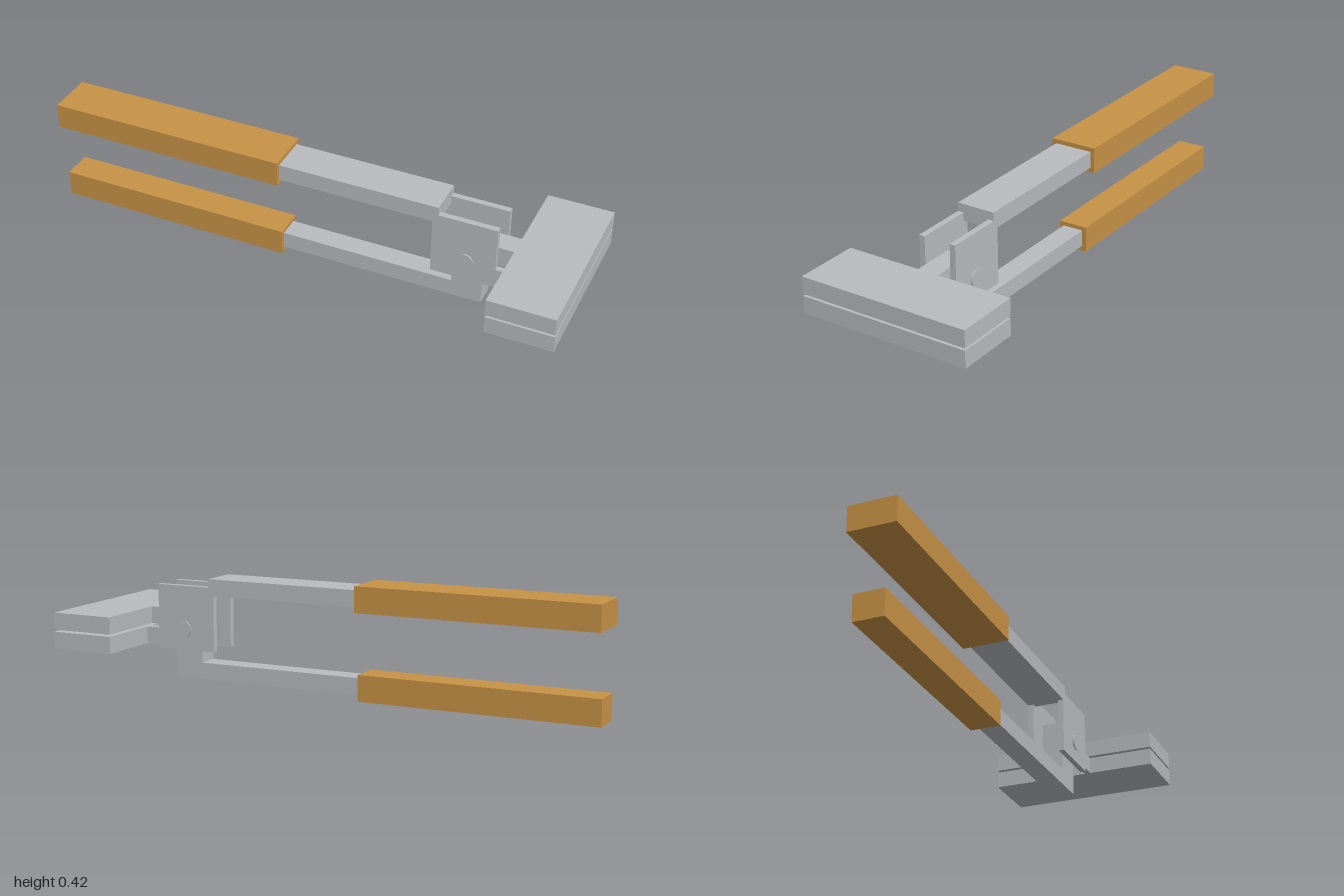
import * as THREE from 'three';

export function createModel() {
  const group = new THREE.Group();
  const metal = new THREE.MeshStandardMaterial({ color: 0xb9bbbf });
  metal.name = 'greyMetal';
  const wood = new THREE.MeshStandardMaterial({ color: 0xc89346 });
  wood.name = 'warmWood';

  const add = (name, geometry, material) => {
    const mesh = new THREE.Mesh(geometry, material);
    mesh.name = name;
    group.add(mesh);
    return mesh;
  };

  // Box given by its minimum and maximum on each axis
  const box = (name, [x0, x1], [y0, y1], [z0, z1], material) =>
    add(name, new THREE.BoxGeometry(x1 - x0, y1 - y0, z1 - z0), material)
      .position.set((x0 + x1) / 2, (y0 + y1) / 2, (z0 + z1) / 2);

  // Side outline extruded from z0 to z1
  const plate = (name, points, z0, z1) => {
    const shape = new THREE.Shape(points.map(([x, y]) => new THREE.Vector2(x, y)));
    const geometry = new THREE.ExtrudeGeometry(shape, { depth: z1 - z0, bevelEnabled: false });
    geometry.translate(0, 0, z0);
    add(name, geometry, metal);
  };

  // Wooden grips
  box('upperGrip', [-1, -0.107], [0.322, 0.416], [-0.088, 0.088], wood);
  box('lowerGrip', [-1, -0.107], [0, 0.096], [-0.056, 0.056], wood);

  // Upper handle bar, forked into two cheeks that carry the lower jaw
  box('upperBar', [-0.2, 0.491], [0.338, 0.4], [-0.072, 0.072], metal);
  const cheek = [
    [0.47, 0.13], [0.705, 0.13], [0.705, 0.142], [0.78, 0.142],
    [0.78, 0.205], [0.705, 0.205], [0.705, 0.369], [0.47, 0.369],
  ];
  plate('leftCheek', cheek, 0.05, 0.072);
  plate('rightCheek', cheek, -0.072, -0.05);

  // Lower lever: bar, upright post and arm to the upper jaw
  plate('lowerLever', [
    [-0.2, 0.019], [0.651, 0.019], [0.651, 0.213], [0.78, 0.213],
    [0.78, 0.276], [0.539, 0.276], [0.539, 0.081], [-0.2, 0.081],
  ], -0.04, 0.04);

  // Flat jaws
  box('lowerJaw', [0.757, 1], [0.142, 0.205], [-0.32, 0.32], metal);
  box('upperJaw', [0.757, 1], [0.213, 0.276], [-0.32, 0.32], metal);

  // Pivot pin through the cheeks and post
  const pin = new THREE.CylinderGeometry(0.03, 0.03, 0.154, 32);
  pin.rotateX(Math.PI / 2);
  add('pivotPin', pin, metal).position.set(0.595, 0.207, 0);

  return group;
}
